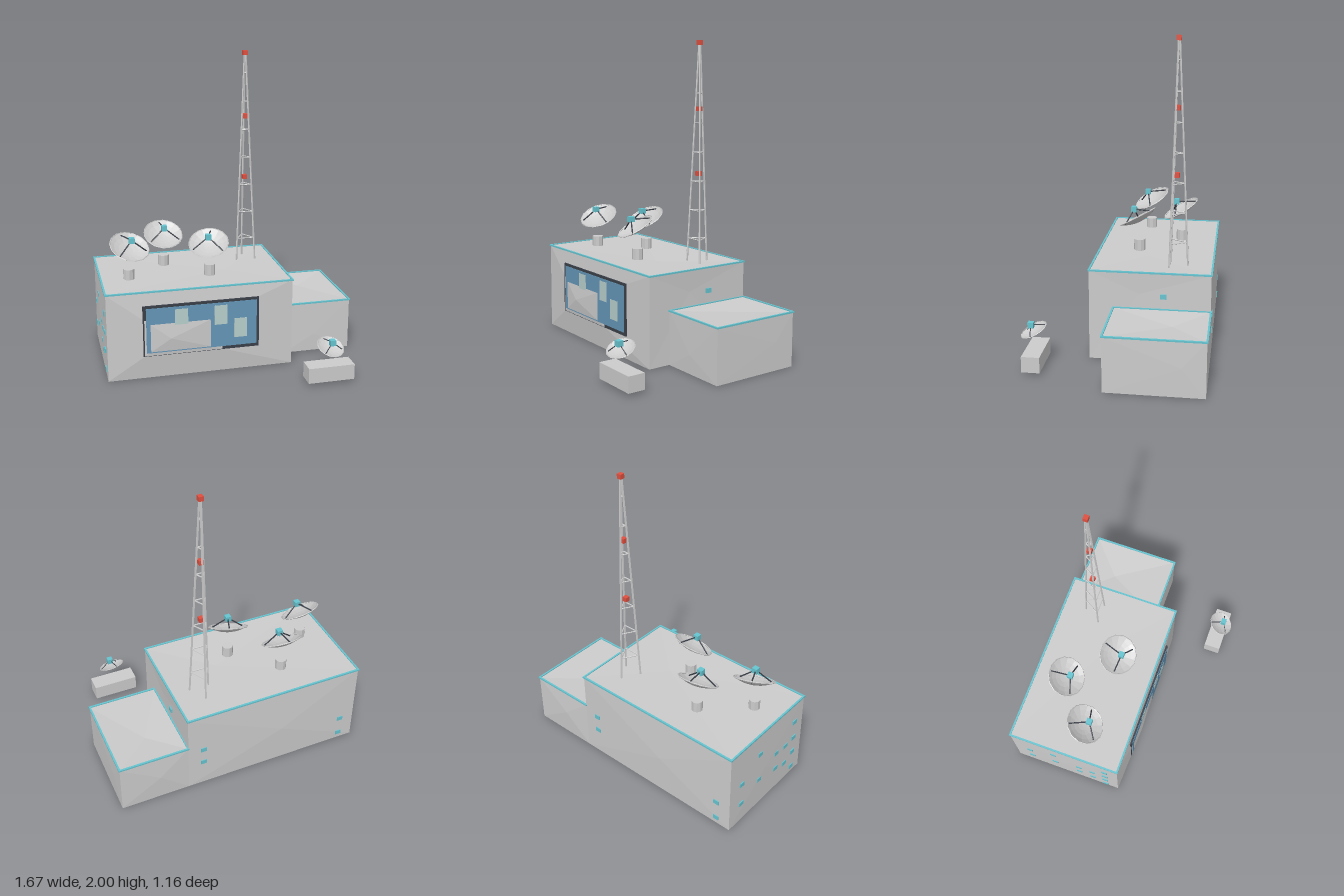
import * as THREE from 'three';

const mat = (color) => new THREE.MeshStandardMaterial({ color, flatShading: true, side: THREE.DoubleSide });
const GREY = mat(0xcccccc), TEAL = mat(0x66c4d0), RED = mat(0xe05040);
const DARK = mat(0x3a3f48), BLUE = mat(0x6496b8), PALE = mat(0xb8d0cc);

function add(parent, name, geometry, material, x = 0, y = 0, z = 0) {
  const mesh = new THREE.Mesh(geometry, material);
  mesh.name = name;
  mesh.position.set(x, y, z);
  parent.add(mesh);
  return mesh;
}

// Box given by its extents
function block(parent, name, material, [x0, x1], [y0, y1], [z0, z1]) {
  return add(parent, name, new THREE.BoxGeometry(x1 - x0, y1 - y0, z1 - z0), material,
    (x0 + x1) / 2, (y0 + y1) / 2, (z0 + z1) / 2);
}

// Thin round bar between two points
function bar(parent, name, a, b, radius, material = GREY) {
  const mesh = add(parent, name, new THREE.CylinderGeometry(radius, radius, a.distanceTo(b), 5), material);
  mesh.position.copy(a).lerp(b, 0.5);
  mesh.quaternion.setFromUnitVectors(new THREE.Vector3(0, 1, 0), b.clone().sub(a).normalize());
}

// Open-bottomed shell whose faces are each a shallow pyramid around an apex
function shell(parent, name, [x0, x1], [y0, y1], [z0, z1], apex) {
  const corner = (i, j, k) => [i ? x1 : x0, j ? y1 : y0, k ? z1 : z0];
  const faces = {
    front: [[0, 0, 1], [1, 0, 1], [1, 1, 1], [0, 1, 1]],
    back: [[1, 0, 0], [0, 0, 0], [0, 1, 0], [1, 1, 0]],
    left: [[1, 0, 1], [1, 0, 0], [1, 1, 0], [1, 1, 1]],
    right: [[0, 0, 0], [0, 0, 1], [0, 1, 1], [0, 1, 0]],
    roof: [[0, 1, 1], [1, 1, 1], [1, 1, 0], [0, 1, 0]],
  };
  const points = [];
  for (const [key, quad] of Object.entries(faces)) {
    const c = quad.map((q) => corner(...q));
    const mid = apex[key] || [0, 1, 2].map((n) => (c[0][n] + c[2][n]) / 2);
    for (let i = 0; i < 4; i++) points.push(...c[i], ...c[(i + 1) % 4], ...mid);
  }
  const geometry = new THREE.BufferGeometry();
  geometry.setAttribute('position', new THREE.Float32BufferAttribute(points, 3));
  geometry.computeVertexNormals();
  return add(parent, name, geometry, GREY);
}

// Thin border around a roof edge
function roofTrim(parent, [x0, x1], y, [z0, z1]) {
  const w = 0.006, h = [y - 0.004, y + 0.006];
  for (const z of [z0, z1]) block(parent, 'roofTrim', TEAL, [x0 - w, x1 + w], h, [z - w, z + w]);
  for (const x of [x0, x1]) block(parent, 'roofTrim', TEAL, [x - w, x + w], h, [z0 + w, z1 - w]);
}

// Dish bowl, rim, three struts and feed; origin at the rim centre, opening along +y
function dish(parent, name, [x, y, z], r, yaw, tilt) {
  const group = new THREE.Group();
  group.name = name;
  group.position.set(x, y, z);
  group.rotation.set(tilt, yaw, 0, 'YXZ');
  parent.add(group);
  const profile = [];
  for (let i = 0; i <= 4; i++) profile.push(new THREE.Vector2(r * i / 4, -0.27 * r * (1 - (i / 4) ** 2)));
  add(group, 'bowl', new THREE.LatheGeometry(profile, 14), GREY);
  const rim = add(group, 'rim', new THREE.TorusGeometry(r * 0.98, r * 0.03, 4, 14), GREY);
  rim.rotation.x = Math.PI / 2;
  const feed = new THREE.Vector3(0, r * 0.43, 0);
  for (let i = 0; i < 3; i++) {
    const a = Math.PI + i * Math.PI * 2 / 3;
    bar(group, 'strut', new THREE.Vector3(Math.sin(a) * r * 0.86, -0.06 * r, Math.cos(a) * r * 0.86), feed, r * 0.035, DARK);
  }
  const box = add(group, 'feed', new THREE.BoxGeometry(0.036, 0.036, 0.036), TEAL, 0, feed.y, 0);
  // Keeps the feed box level
  box.quaternion.copy(group.quaternion).invert();
}

export function createModel() {
  const model = new THREE.Group();
  model.name = 'broadcastStation';

  // Buildings
  const mainX = [-0.83, 0.375], mainZ = [-0.573, 0.182];
  shell(model, 'mainBuilding', mainX, [0, 0.58], mainZ, {
    front: [-0.43, 0.27, 0.218],
    back: [-0.28, 0.27, -0.584],
    left: [0.37, 0.44, -0.13],
    right: [-0.834, 0.27, -0.22],
    roof: [0, 0.568, -0.15],
  });
  roofTrim(model, mainX, 0.579, mainZ);
  const annexX = [0.375, 0.83], annexZ = [-0.573, 0.03];
  shell(model, 'annex', annexX, [0, 0.345], annexZ, {
    front: [0.58, 0.12, 0.034],
    back: [0.57, 0.18, -0.584],
    left: [0.833, 0.18, -0.43],
    roof: [0.585, 0.325, -0.355],
  });
  roofTrim(model, annexX, 0.345, annexZ);

  // Display on the front wall
  block(model, 'displayFrame', DARK, [-0.606, 0.146], [0.155, 0.493], [0.165, 0.203]);
  block(model, 'displayScreen', BLUE, [-0.585, 0.13], [0.177, 0.477], [0.19, 0.2065]);
  for (const [x, y] of [[-0.36, 0.395], [-0.105, 0.395], [0.023, 0.297]])
    block(model, 'displayPanel', PALE, [x - 0.042, x + 0.042], [y - 0.065, y + 0.065], [0.195, 0.208]);

  // Small windows
  const sideWindows = [[-0.46, 0.306], [-0.46, 0.144], [-0.28, 0.42], [-0.28, 0.21], [-0.1, 0.3], [-0.1, 0.17],
    [0, 0.29], [0, 0.14], [0.09, 0.43], [0.09, 0.3], [0.09, 0.18], [0.09, 0.05]];
  for (const [z, y] of sideWindows)
    add(model, 'sideWindow', new THREE.BoxGeometry(0.014, 0.03, 0.04), TEAL, -0.83, y, z);
  add(model, 'sideWindow', new THREE.BoxGeometry(0.014, 0.03, 0.04), TEAL, 0.374, 0.43, -0.28);
  for (const [x, y] of [[-0.73, 0.18], [-0.73, 0.05], [0.27, 0.19], [0.27, 0.3]])
    add(model, 'backWindow', new THREE.BoxGeometry(0.04, 0.03, 0.014), TEAL, x, y, -0.573);

  // Roof dishes above their pedestals
  const dishes = [
    { at: [-0.637, 0.793, -0.1], post: [-0.647, -0.1], yaw: 0.42 },
    { at: [-0.381, 0.793, -0.327], post: [-0.381, -0.337], yaw: 0.1 },
    { at: [-0.125, 0.793, -0.062], post: [-0.117, -0.075], yaw: -0.33 },
  ];
  for (const { at, post, yaw } of dishes) {
    add(model, 'dishPedestal', new THREE.CylinderGeometry(0.037, 0.037, 0.075, 10), GREY, post[0], 0.608, post[1]);
    dish(model, 'roofDish', at, 0.132, yaw, 0.53);
  }

  // Dish over a ground box
  shell(model, 'groundBox', [0.377, 0.678], [0.02, 0.12], [0.432, 0.545], {});
  dish(model, 'groundDish', [0.531, 0.236, 0.498], 0.088, 0.35, 0.45);

  // Three-legged lattice mast
  const mast = new THREE.Group();
  mast.name = 'mast';
  mast.position.set(0.187, 0, -0.342);
  model.add(mast);
  const base = 0.575, top = 1.98;
  const legPoint = (i, y) => {
    const a = Math.PI + i * Math.PI * 2 / 3;
    const r = THREE.MathUtils.mapLinear(y, base, top, 0.075, 0.005);
    return new THREE.Vector3(Math.sin(a) * r, y, Math.cos(a) * r);
  };
  for (let i = 0; i < 3; i++) {
    bar(mast, 'mastLeg', legPoint(i, base), legPoint(i, top), 0.0065);
    for (let n = 0; n < 7; n++) {
      const y = 0.727 + n * 0.188;
      bar(mast, 'mastRung', legPoint(i, y), legPoint((i + 1) % 3, y), 0.004);
    }
  }
  for (const y of [1.155, 1.57, 1.985])
    add(mast, 'beacon', new THREE.BoxGeometry(0.03, 0.03, 0.03), RED, 0, y, 0);

  return model;
}
